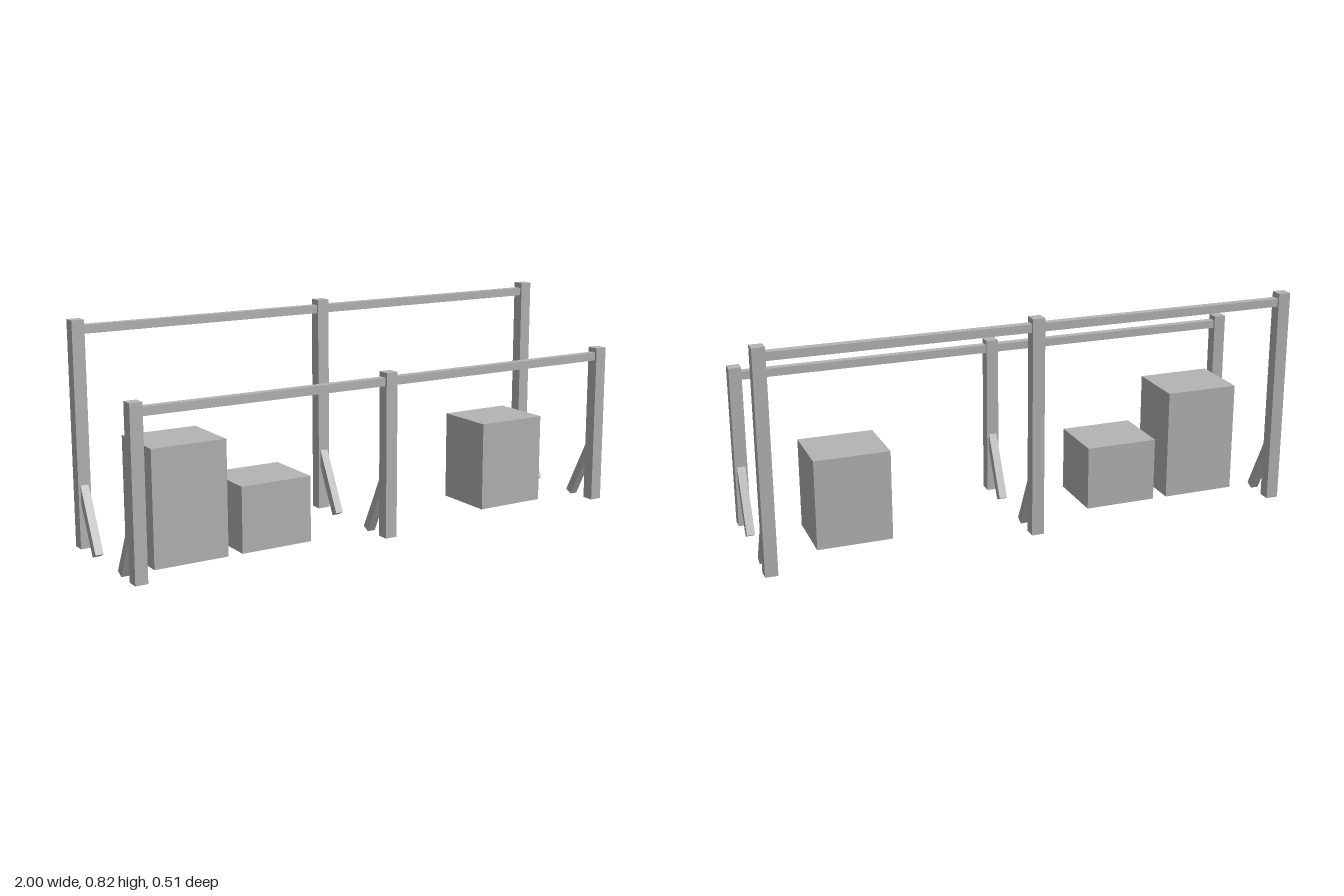
import * as THREE from 'three';

export function createModel() {
  const model = new THREE.Group();
  const grey = new THREE.MeshStandardMaterial({ color: 0xb4b4b4 });
  grey.name = 'plain grey';

  // Box given by its lower and upper limits on each axis
  function block(name, [x0, x1], [y0, y1], [z0, z1]) {
    const mesh = new THREE.Mesh(new THREE.BoxGeometry(x1 - x0, y1 - y0, z1 - z0), grey);
    mesh.position.set((x0 + x1) / 2, (y0 + y1) / 2, (z0 + z1) / 2);
    mesh.name = name;
    model.add(mesh);
    return mesh;
  }

  const postX = [-0.977, 0, 0.977];
  const postHalf = 0.023, railHalf = 0.015, postZ = 0.234;
  const base = 0.008;

  // Low front row and tall back row
  const rows = [
    { name: 'front', side: 1, top: 0.615, rail: 0.582 },
    { name: 'back', side: -1, top: 0.82, rail: 0.785 },
  ];
  for (const { name, side, top, rail } of rows) {
    const z = side * postZ;
    for (const x of postX) {
      block(name + 'Post', [x - postHalf, x + postHalf], [base, top], [z - postHalf, z + postHalf]);

      // Slanted brace running inward from the post to the ground
      const brace = new THREE.Mesh(new THREE.BoxGeometry(0.03, 0.274, 0.031), grey);
      brace.position.set(x, 0.13, side * 0.173);
      brace.rotation.x = side * 0.469;
      brace.name = name + 'Brace';
      model.add(brace);
    }
    // One rail per bay, between neighbouring posts
    for (let i = 0; i < 2; i++) {
      block(name + 'Rail', [postX[i] + postHalf, postX[i + 1] - postHalf],
        [rail - railHalf, rail + railHalf], [z - railHalf, z + railHalf]);
    }
  }

  // Crates between the two rows
  const crates = [
    ['tallCrate', -0.878, -0.598, 0.427],
    ['smallCrate', -0.543, -0.267, 0.25],
    ['mediumCrate', 0.501, 0.781, 0.345],
  ];
  for (const [name, x0, x1, top] of crates) block(name, [x0, x1], [base, top], [-0.101, 0.138]);

  return model;
}
